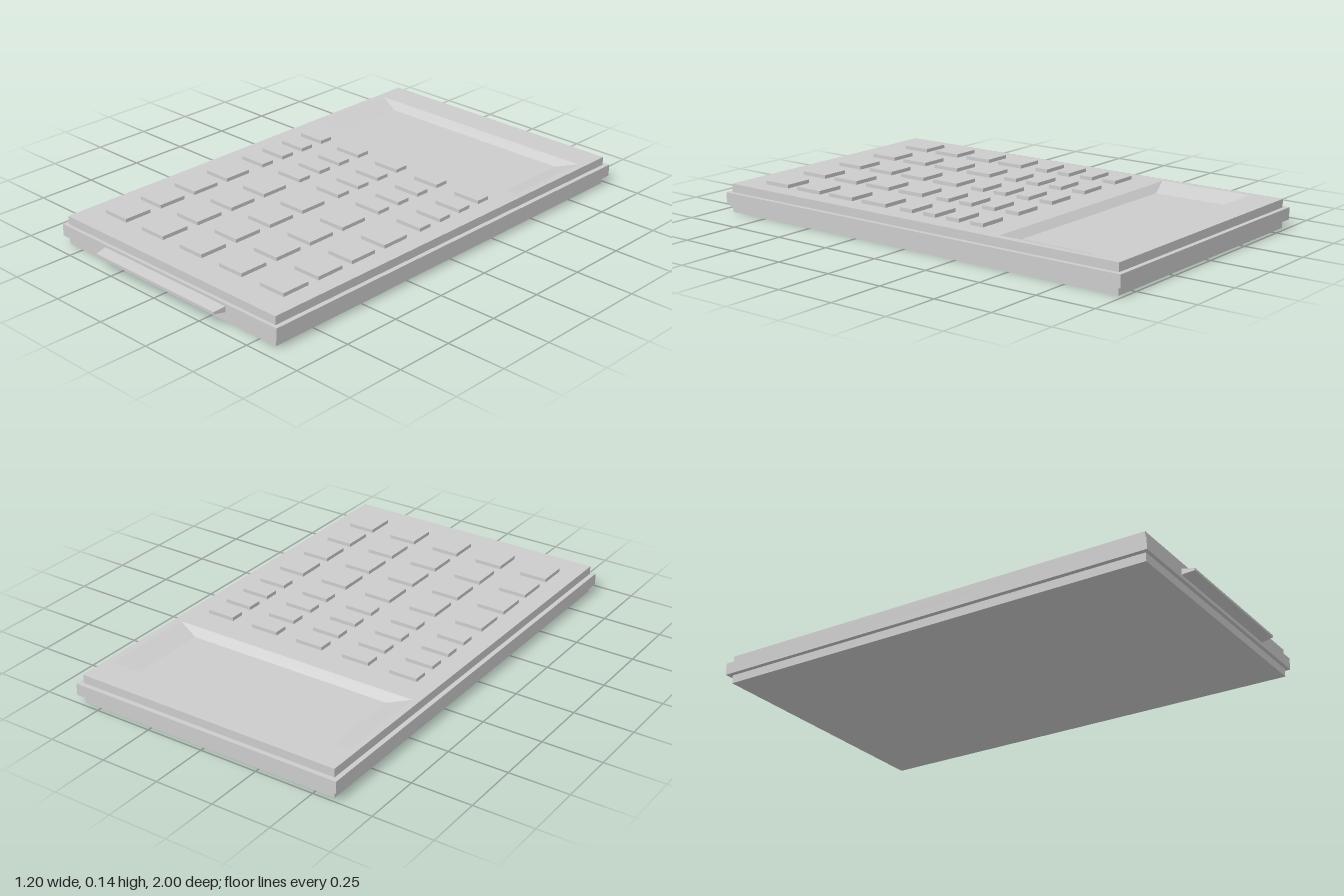
import * as THREE from 'three';

const material = new THREE.MeshStandardMaterial({ color: 0xcccccc, flatShading: true });

function addMesh(parent, name, geometry, x = 0, y = 0, z = 0) {
  const mesh = new THREE.Mesh(geometry, material);
  mesh.name = name;
  mesh.position.set(x, y, z);
  parent.add(mesh);
  return mesh;
}

// Box given by its width and its y and z ranges
function addSlab(parent, name, width, y0, y1, z0, z1) {
  const geometry = new THREE.BoxGeometry(width, y1 - y0, z1 - z0);
  return addMesh(parent, name, geometry, 0, (y0 + y1) / 2, (z0 + z1) / 2);
}

// Corners of a horizontal rectangle, counterclockwise from above
const corners = (x, y, z0, z1) => [[-x, y, z0], [-x, y, z1], [x, y, z1], [x, y, z0]];

// Top plate with a rectangular opening for the screen
function topPlate(outer, opening, depth) {
  const points = (list) => list.map(([x, , z]) => new THREE.Vector2(x, -z));
  const shape = new THREE.Shape(points(outer));
  shape.holes.push(new THREE.Path(points(opening)));
  const geometry = new THREE.ExtrudeGeometry(shape, { depth, bevelEnabled: false });
  return geometry.rotateX(-Math.PI / 2);
}

// Four sloping walls and a flat floor
function recess(rim, floor) {
  const positions = [];
  const quad = (a, b, c, d) => positions.push(...a, ...b, ...c, ...a, ...c, ...d);
  for (let i = 0; i < 4; i++) {
    const j = (i + 1) % 4;
    quad(rim[i], rim[j], floor[j], floor[i]);
  }
  quad(...floor);
  const geometry = new THREE.BufferGeometry();
  geometry.setAttribute('position', new THREE.Float32BufferAttribute(positions, 3));
  geometry.computeVertexNormals();
  return geometry;
}

// Box whose front face is narrowed
function taperedTab(width, height, depth, scaleX, scaleY) {
  const geometry = new THREE.BoxGeometry(width, height, depth);
  const p = geometry.attributes.position;
  for (let i = 0; i < p.count; i++) {
    if (p.getZ(i) > 0) p.setXY(i, p.getX(i) * scaleX, p.getY(i) * scaleY);
  }
  geometry.computeVertexNormals();
  return geometry;
}

export function createModel() {
  const model = new THREE.Group();
  model.name = 'calculator';

  // Layered case
  addSlab(model, 'basePlate', 1.16, 0, 0.035, -0.98, 0.935);
  addSlab(model, 'middleBand', 1.2, 0.035, 0.085, -1, 0.95);
  const rim = corners(0.55, 0.12, -0.845, -0.435);
  const plate = topPlate(corners(0.58, 0, -0.98, 0.935), rim, 0.035);
  addMesh(model, 'topPlate', plate, 0, 0.085, 0);

  // Sunken screen
  addMesh(model, 'screenRecess', recess(rim, corners(0.455, 0.09, -0.815, -0.465)));

  // Front tab
  addMesh(model, 'frontTab', taperedTab(0.676, 0.024, 0.05, 0.98, 0.4), 0, 0.062, 0.975);

  // Keypad: four rows of short keys, then four rows of square keys
  const keypad = new THREE.Group();
  keypad.name = 'keypad';
  model.add(keypad);
  const shortKey = new THREE.BoxGeometry(0.122, 0.016, 0.061);
  const squareKey = new THREE.BoxGeometry(0.122, 0.016, 0.124);
  for (let row = 0; row < 4; row++) {
    for (let column = 0; column < 5; column++) {
      const x = -0.433 + column * 0.218;
      addMesh(keypad, 'shortKey', shortKey, x, 0.127, -0.287 + row * 0.115);
      addMesh(keypad, 'squareKey', squareKey, x, 0.127, 0.227 + row * 0.176);
    }
  }
  return model;
}
